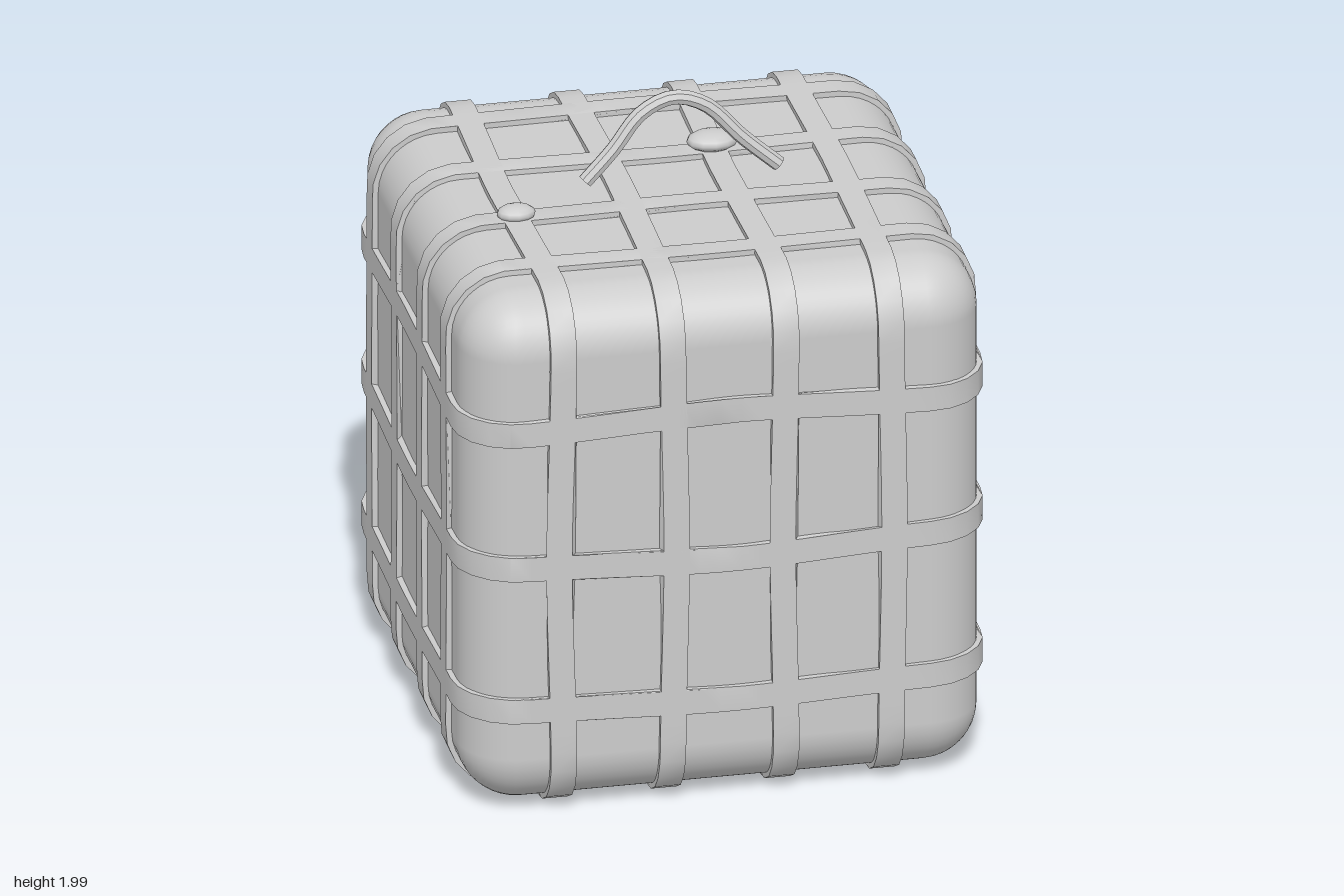
import * as THREE from 'three';
import { RoundedBoxGeometry } from 'three/addons/geometries/RoundedBoxGeometry.js';
import { toCreasedNormals } from 'three/addons/utils/BufferGeometryUtils.js';

const CENTRE = new THREE.Vector3(-0.03, 0.87, -0.003);
const BODY = { x: 1.605, y: 1.68, z: 1.615 };
const RADIUS = 0.18, PROUD = 0.018, WIDTH = 0.08;

// Rounded rectangle outline as evenly spaced points
function outline(w, h, r) {
  const x = w / 2, y = h / 2, path = new THREE.Path();
  path.moveTo(-x + r, -y);
  path.lineTo(x - r, -y).absarc(x - r, -y + r, r, -Math.PI / 2, 0);
  path.lineTo(x, y - r).absarc(x - r, y - r, r, 0, Math.PI / 2);
  path.lineTo(-x + r, y).absarc(-x + r, y - r, r, Math.PI / 2, Math.PI);
  path.lineTo(-x, -y + r).absarc(-x + r, -y + r, r, Math.PI, Math.PI * 1.5);
  return path.getSpacedPoints(96).slice(0, -1);
}

// Closed strap around the body, bowed a little sideways on each face
function strap(w, h, bow) {
  const shape = new THREE.Shape(outline(w + PROUD * 2, h + PROUD * 2, RADIUS + PROUD));
  shape.holes.push(new THREE.Path(outline(w - 0.04, h - 0.04, RADIUS - 0.02)));
  const geo = new THREE.ExtrudeGeometry(shape, { depth: WIDTH, bevelEnabled: false });
  geo.translate(0, 0, -WIDTH / 2);
  const p = geo.attributes.position;
  for (let i = 0; i < p.count; i++) {
    const a = Math.atan2(p.getY(i) / h, p.getX(i) / w);
    p.setZ(i, p.getZ(i) + bow * Math.cos(4 * a));
  }
  return toCreasedNormals(geo, 0.6);
}

export function createModel() {
  const group = new THREE.Group();
  const grey = new THREE.MeshStandardMaterial({ color: 0xcccccc });
  grey.name = 'light grey';
  const add = (name, geo) => {
    const mesh = new THREE.Mesh(geo, grey);
    mesh.name = name;
    group.add(mesh);
    return mesh;
  };

  // Rounded block
  add('body', new RoundedBoxGeometry(BODY.x, BODY.y, BODY.z, 5, RADIUS)).position.copy(CENTRE);

  // Straps running front to back over the top
  [[-0.55, -0.008], [-0.2, 0.006], [0.14, -0.006], [0.475, 0.005]].forEach(([x, bow], i) => {
    add('lengthwiseStrap' + (i + 1), strap(BODY.z, BODY.y, bow).rotateY(Math.PI / 2))
      .position.set(x, CENTRE.y, CENTRE.z);
  });

  // Straps running side to side over the top
  [[-0.54, -0.006], [-0.19, 0.008], [0.17, -0.006], [0.515, 0.006]].forEach(([z, bow], i) => {
    add('crosswiseStrap' + (i + 1), strap(BODY.x, BODY.y, bow)).position.set(CENTRE.x, CENTRE.y, z);
  });

  // Level straps around the sides
  [[0.37, 0.01], [0.84, 0.014], [1.31, -0.012]].forEach(([y, bow], i) => {
    add('levelStrap' + (i + 1), strap(BODY.x, BODY.z, bow).rotateX(Math.PI / 2))
      .position.set(CENTRE.x, y, CENTRE.z);
  });

  // Arched handle, leaning back, with closed ends
  const arch = new THREE.CatmullRomCurve3([
    [-0.3, 1.74, 0], [-0.21, 1.83, -0.015], [-0.12, 1.935, -0.032], [-0.02, 1.976, -0.038],
    [0.08, 1.945, -0.034], [0.19, 1.835, -0.016], [0.3, 1.74, 0],
  ].map((p) => new THREE.Vector3(...p)));
  add('handle', toCreasedNormals(new THREE.TubeGeometry(arch, 24, 0.024, 8), 0.5));
  [0, 1].forEach((t) => {
    const cap = add('handleEnd', new THREE.CircleGeometry(0.024, 8));
    const out = arch.getTangent(t).multiplyScalar(t ? 1 : -1);
    cap.position.copy(arch.getPoint(t));
    cap.quaternion.setFromUnitVectors(new THREE.Vector3(0, 0, 1), out);
  });

  // Flattened buttons
  [
    ['largeTopButton', [0.135, 1.75, -0.19], [0.08, 0.031, 0.06]],
    ['smallTopButton', [-0.55, 1.738, 0.17], [0.06, 0.027, 0.046]],
    ['sideButton', [0.792, 0.842, -0.19], [0.058, 0.032, 0.046]],
  ].forEach(([name, at, size]) => {
    const button = add(name, new THREE.SphereGeometry(1, 12, 8));
    button.position.set(...at);
    button.scale.set(...size);
  });

  return group;
}
